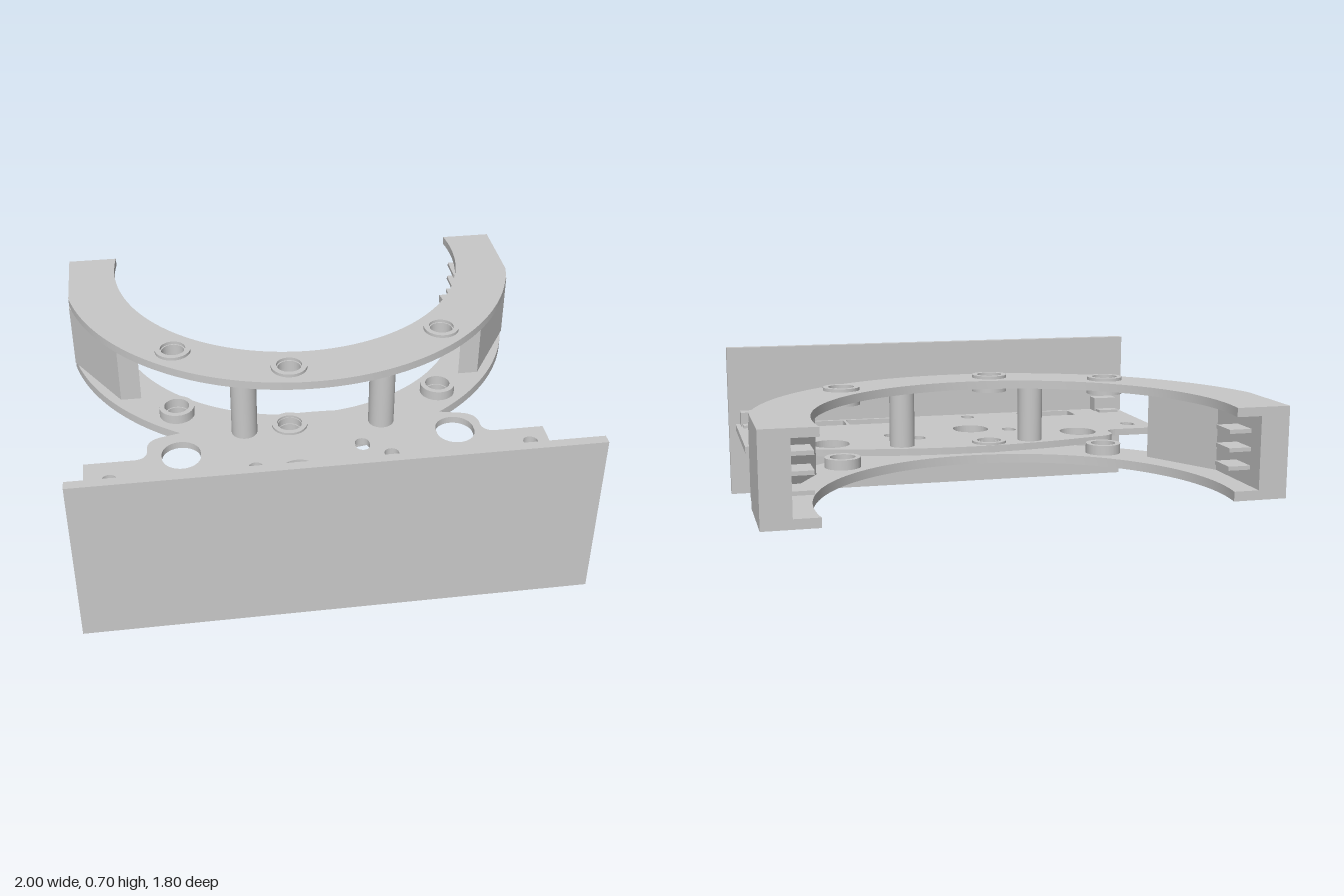
import * as THREE from 'three';
import { toCreasedNormals } from 'three/addons/utils/BufferGeometryUtils.js';

const CZ = -0.776, R_OUT = 1.024, R_IN = 0.794, END_Z = -0.9;
const BEARINGS = [[-0.562, -0.06], [-0.097, 0.13], [0.586, -0.078]];

// Plan shapes are drawn as (x, -z) and extruded upwards from y0 to y1.
function slab(shape, y0, y1) {
  const g = new THREE.ExtrudeGeometry(shape, { depth: y1 - y0, bevelEnabled: false, curveSegments: 40 });
  g.rotateX(-Math.PI / 2);
  g.translate(0, y0, 0);
  return toCreasedNormals(g, 0.15);
}

function polygon(points) {
  return new THREE.Shape(points.map(([x, z]) => new THREE.Vector2(x, -z)));
}

function circleHole(x, z, r) {
  const p = new THREE.Path();
  p.absarc(x, -z, r, 0, Math.PI * 2, false);
  return p;
}

// Slot elongated along z
function slotHole(x, z, r, half) {
  const p = new THREE.Path(), d = half - r;
  p.absarc(x, -z + d, r, 0, Math.PI, false);
  p.absarc(x, -z - d, r, Math.PI, Math.PI * 2, false);
  p.closePath();
  return p;
}

function rectHole(x0, x1, z0, z1, r = 0.015) {
  const p = new THREE.Path(), a = -z1, b = -z0;
  p.moveTo(x0 + r, a);
  p.lineTo(x1 - r, a);
  p.quadraticCurveTo(x1, a, x1, a + r);
  p.lineTo(x1, b - r);
  p.quadraticCurveTo(x1, b, x1 - r, b);
  p.lineTo(x0 + r, b);
  p.quadraticCurveTo(x0, b, x0, b - r);
  p.lineTo(x0, a + r);
  p.quadraticCurveTo(x0, a, x0 + r, a);
  return p;
}

// Horseshoe: circular band with its outer sides cut flat at x = -1 and x = 1
function ringShape() {
  const s = new THREE.Shape();
  const aOut = Math.acos(1 / R_OUT);
  const aIn = Math.asin((CZ - END_Z) / R_IN);
  const xIn = R_IN * Math.cos(aIn);
  s.moveTo(xIn, -END_Z);
  s.lineTo(1, -END_Z);
  s.absarc(0, -CZ, R_OUT, -aOut, -Math.PI + aOut, true);
  s.lineTo(-1, -END_Z);
  s.lineTo(-xIn, -END_Z);
  s.absarc(0, -CZ, R_IN, Math.PI - aIn, Math.PI * 2 + aIn, false);
  for (const [x, z] of BEARINGS) s.holes.push(circleHole(x, z, 0.048));
  return s;
}

function basePlateShape() {
  const s = new THREE.Shape();
  s.moveTo(-0.96, -0.86);
  s.lineTo(0.957, -0.86);
  s.lineTo(0.957, -0.288);
  s.lineTo(0.75, -0.288);
  s.quadraticCurveTo(0.7, -0.283, 0.7, -0.233);
  s.quadraticCurveTo(0.705, -0.163, 0.64, -0.146);
  s.lineTo(0.5, -0.113);
  s.quadraticCurveTo(0.25, -0.05, 0, -0.05);
  s.quadraticCurveTo(-0.25, -0.05, -0.5, -0.113);
  s.lineTo(-0.64, -0.146);
  s.quadraticCurveTo(-0.705, -0.163, -0.7, -0.233);
  s.quadraticCurveTo(-0.7, -0.283, -0.75, -0.288);
  s.lineTo(-0.96, -0.288);
  s.closePath();
  // Large access holes, small fixing slots and rectangular windows
  for (const [x, z] of [[-0.562, 0.28], [-0.097, 0.465], [0.586, 0.26]]) s.holes.push(slotHole(x, z, 0.08, 0.09));
  for (const [x, z] of [[-0.857, 0.41], [-0.268, 0.41], [0.184, 0.307], [0.293, 0.392], [0.878, 0.392], [-0.162, 0.78]])
    s.holes.push(slotHole(x, z, 0.03, 0.04));
  for (const [x0, x1] of [[-0.698, -0.425], [0.153, 0.433], [0.445, 0.723]]) s.holes.push(rectHole(x0, x1, 0.713, 0.84));
  s.holes.push(circleHole(-0.097, 0.13, 0.05));
  return s;
}

export function createModel() {
  const group = new THREE.Group();
  const grey = new THREE.MeshStandardMaterial({ color: 0xc8c8c8 });
  grey.name = 'grey';

  const add = (name, geometry) => {
    const m = new THREE.Mesh(geometry, grey);
    m.name = name;
    group.add(m);
  };
  const box = (name, x0, x1, y0, y1, z0, z1) => {
    const g = new THREE.BoxGeometry(x1 - x0, y1 - y0, z1 - z0);
    g.translate((x0 + x1) / 2, (y0 + y1) / 2, (z0 + z1) / 2);
    add(name, g);
  };

  // Front panel and base plate
  box('frontPanel', -0.99, 0.988, 0, 0.705, 0.86, 0.9);
  add('basePlate', slab(basePlateShape(), 0.31, 0.34));

  // Clips joining the plate to the panel
  for (const cx of [-0.884, 0.88]) {
    box('clipBlock', cx - 0.056, cx + 0.056, 0.275, 0.405, 0.793, 0.86);
    box('clipTongue', cx - 0.049, cx + 0.049, 0.335, 0.352, 0.74, 0.793);
  }

  // Two horseshoe rings
  add('lowerRing', slab(ringShape(), 0.27, 0.308));
  add('upperRing', slab(ringShape(), 0.595, 0.63));

  // Bearing collars on the rings
  for (const [x, z] of BEARINGS) {
    for (const [y0, y1] of [[0.308, 0.35], [0.57, 0.595], [0.63, 0.643]]) {
      const s = new THREE.Shape();
      s.absarc(x, -z, 0.075, 0, Math.PI * 2, false);
      s.holes.push(circleHole(x, z, 0.053));
      add('bearingCollar', slab(s, y0, y1));
    }
  }

  for (const side of [-1, 1]) {
    // Spacer posts between the rings
    const post = new THREE.CylinderGeometry(0.054, 0.054, 0.287, 40);
    post.translate(side * 0.29, 0.4515, 0.15);
    add('spacerPost', post);

    // End walls of the horseshoe
    const wall = [[1, -0.9], [1, -0.53], [0.8, -0.2], [0.712, -0.2], [0.885, -0.52], [0.885, -0.9]];
    const outline = wall.map(([x, z]) => [side * x, z]);
    add('endWall', slab(polygon(outline), 0.308, 0.595));

    // Gripping fins inside each end
    for (let i = 1; i <= 3; i++) {
      const y = 0.308 + i * 0.072;
      const [x0, x1] = side > 0 ? [0.795, 0.89] : [-0.89, -0.795];
      box('fin', x0, x1, y - 0.008, y + 0.008, -0.82, -0.7);
    }
  }
  return group;
}
